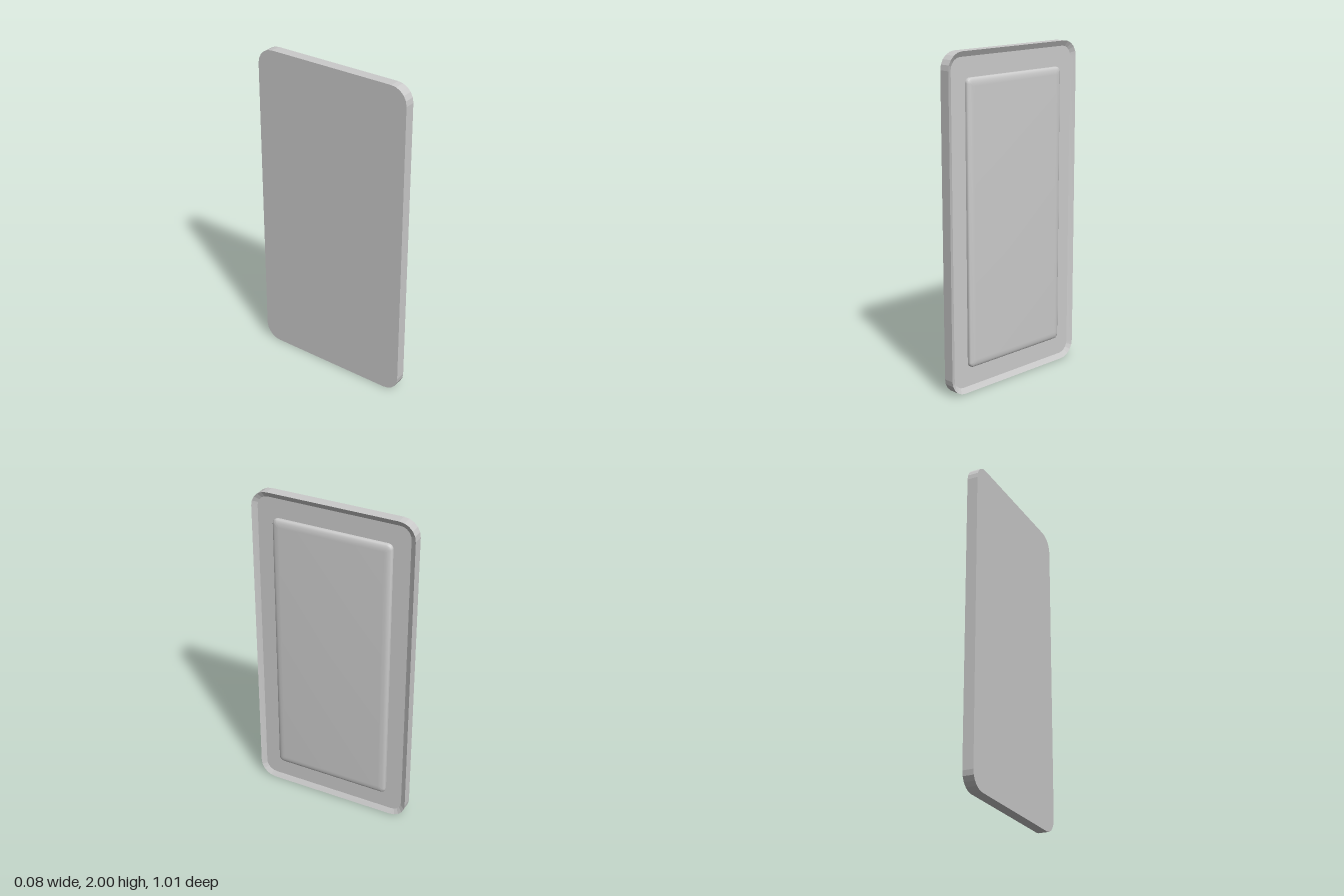
import * as THREE from 'three';
import { toCreasedNormals } from 'three/addons/utils/BufferGeometryUtils.js';

const material = new THREE.MeshStandardMaterial({ color: 0xcccccc });

// Rounded rectangle in the plane at depth x, counter-clockwise seen from +x
function ring({ x, w, h, r }, steps) {
  const points = [];
  const corners = [[1, 1], [-1, 1], [-1, -1], [1, -1]];
  corners.forEach(([su, sv], c) => {
    for (let i = 0; i <= steps; i++) {
      const a = (c + i / steps) * Math.PI / 2;
      const u = su * (w - r) + r * Math.cos(a);
      const v = sv * (h - r) + r * Math.sin(a);
      points.push([x, 1 + v, -u]);
    }
  });
  return points;
}

// Skin a list of rings from back to front and close both ends
function loft(sections, steps, crease) {
  const rings = sections.map((s) => ring(s, steps));
  const n = rings[0].length;
  const positions = rings.flat(2);
  const index = [];
  for (let k = 0; k < rings.length - 1; k++) {
    for (let j = 0; j < n; j++) {
      const a = k * n + j, b = k * n + (j + 1) % n;
      index.push(a, b, b + n, a, b + n, a + n);
    }
  }
  const back = rings.length * n, front = back + 1, last = back - n;
  positions.push(sections[0].x, 1, 0, sections.at(-1).x, 1, 0);
  for (let j = 0; j < n; j++) {
    const k = (j + 1) % n;
    index.push(back, k, j, front, last + j, last + k);
  }
  const geometry = new THREE.BufferGeometry();
  geometry.setAttribute('position', new THREE.Float32BufferAttribute(positions, 3));
  geometry.setIndex(index);
  return toCreasedNormals(geometry, crease);
}

export function createModel() {
  const group = new THREE.Group();

  // Plate with a sharp rim sloping in to a recessed floor
  const plate = new THREE.Mesh(loft([
    { x: -0.039, w: 0.505, h: 1, r: 0.1 },
    { x: 0.027, w: 0.505, h: 1, r: 0.1 },
    { x: 0.01, w: 0.473, h: 0.968, r: 0.068 },
  ], 5, 0.1), material);
  plate.name = 'plate';
  group.add(plate);

  // Raised panel with a straight wall and a softly rounded front edge
  const sections = [{ x: 0.008, w: 0.37, h: 0.85, r: 0.03 }];
  for (let i = 0; i <= 5; i++) {
    const a = (i / 5) * Math.PI / 2;
    const inset = 0.045 * (1 - Math.cos(a));
    sections.push({
      x: 0.023 + 0.016 * Math.sin(a),
      w: 0.37 - inset,
      h: 0.85 - inset,
      r: Math.max(0.03 - inset * 0.6, 0.003),
    });
  }
  const panel = new THREE.Mesh(loft(sections, 5, 0.6), material);
  panel.name = 'raisedPanel';
  group.add(panel);

  return group;
}
